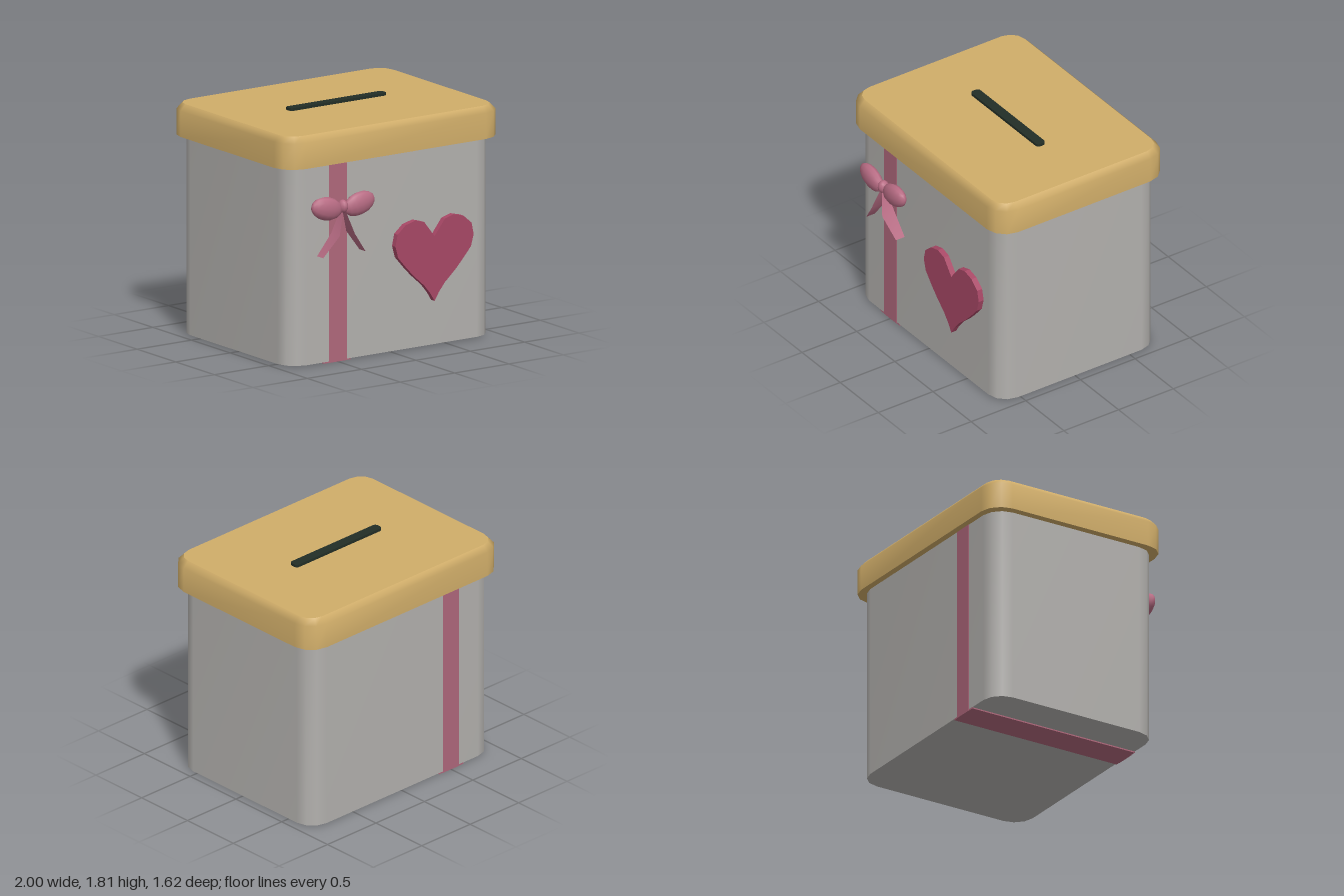
import * as THREE from 'three';

const mat = (name, color, side = THREE.FrontSide) => {
  const m = new THREE.MeshStandardMaterial({ color, side });
  m.name = name;
  return m;
};

// Rounded rectangle, counterclockwise, three steps per corner
function roundedRect(hw, hd, r, inset) {
  const pts = [];
  [[1, 1], [-1, 1], [-1, -1], [1, -1]].forEach(([sx, sy], q) => {
    for (let k = 0; k <= 3; k++) {
      const a = (q + k / 3) * Math.PI / 2;
      pts.push(new THREE.Vector2(
        sx * (hw - r) + (r - inset) * Math.cos(a),
        sy * (hd - r) + (r - inset) * Math.sin(a)));
    }
  });
  return pts;
}

// Rounded box with smooth walls through [inset, y] levels and flat caps
function roundedBlock(name, hw, hd, r, levels, material) {
  const group = new THREE.Group();
  group.name = name;
  const rings = levels.map(([inset]) => roundedRect(hw, hd, r, inset));
  const n = rings[0].length, pos = [], idx = [];
  rings.forEach((ring, j) => ring.forEach(p => pos.push(p.x, levels[j][1], -p.y)));
  for (let j = 0; j < rings.length - 1; j++) {
    for (let i = 0; i < n; i++) {
      const a = j * n + i, b = j * n + (i + 1) % n;
      idx.push(a, b, b + n, a, b + n, a + n);
    }
  }
  const walls = new THREE.BufferGeometry();
  walls.setAttribute('position', new THREE.Float32BufferAttribute(pos, 3));
  walls.setIndex(idx);
  walls.computeVertexNormals();
  const last = levels.length - 1;
  const top = new THREE.ShapeGeometry(new THREE.Shape(rings[last]));
  top.rotateX(-Math.PI / 2).translate(0, levels[last][1], 0);
  const bottom = new THREE.ShapeGeometry(new THREE.Shape(rings[0]));
  bottom.rotateX(Math.PI / 2).translate(0, levels[0][1], 0);
  [['Walls', walls], ['Top', top], ['Bottom', bottom]].forEach(([part, geo]) => {
    const mesh = new THREE.Mesh(geo, material);
    mesh.name = name + part;
    group.add(mesh);
  });
  group.position.z = -0.035;
  return group;
}

export function createModel() {
  const model = new THREE.Group();
  model.name = 'giftMoneyBox';
  const grey = mat('bodyGrey', 0xb3b1ae);
  const gold = mat('lidGold', 0xd0ad69);
  const dark = mat('slotDark', 0x222e26);
  const red = mat('heartRed', 0xa84866);
  const pink = mat('ribbonPink', 0xb0687c);
  const bowPink = mat('bowPink', 0xb86c84, THREE.DoubleSide);

  const add = (name, geo, material, x = 0, y = 0, z = 0, parent = model) => {
    const mesh = new THREE.Mesh(geo, material);
    mesh.name = name;
    mesh.position.set(x, y, z);
    parent.add(mesh);
    return mesh;
  };

  // Box, lid and coin slot
  model.add(roundedBlock('body', 0.94, 0.725, 0.16, [[0, 0.01], [0, 1.545]], grey));
  model.add(roundedBlock('lid', 1, 0.775, 0.17, [[0, 1.54], [0, 1.74], [0.045, 1.787]], gold));
  model.add(roundedBlock('coinSlot', 0.443, 0.039, 0.025, [[0, 1.78], [0, 1.808]], dark));

  // Ribbon around front, back and underside
  const strip = new THREE.BoxGeometry(0.164, 1.54, 0.006);
  add('ribbonFront', strip, pink, -0.5, 0.77, 0.69);
  add('ribbonBack', strip, pink, -0.5, 0.77, -0.76);
  add('ribbonUnder', new THREE.BoxGeometry(0.25, 0.012, 1.45), pink, -0.505, 0.006, -0.035);

  // Heart: half outline mirrored
  const half = [[0, 0.355], [0.04, 0.42], [0.095, 0.487], [0.19, 0.572], [0.255, 0.64],
    [0.335, 0.732], [0.36, 0.823], [0.34, 0.913], [0.265, 0.977], [0.175, 1], [0.095, 0.977], [0, 0.855]];
  const outline = [...half, ...half.slice(1, -1).reverse().map(([x, y]) => [-x, y])];
  const heart = new THREE.Shape(outline.map(([x, y]) => new THREE.Vector2(x, y)));
  add('heart', new THREE.ExtrudeGeometry(heart, { depth: 0.055, bevelEnabled: false }), red, 0.36, 0, 0.68);

  // Bow: knot, two loops and two tails
  const bow = new THREE.Group();
  bow.name = 'bow';
  bow.position.set(-0.5, 1.21, 0.757);
  model.add(bow);
  const knot = add('bowKnot', new THREE.SphereGeometry(1, 10, 8), bowPink, 0, 0, 0, bow);
  knot.scale.set(0.038, 0.052, 0.045);
  // Tail cross-sections: [x, y, back z, front z]
  const tailRows = [[0.01, -0.03, -0.02, 0.02], [0.07, -0.21, -0.055, 0.058], [0.195, -0.37, -0.06, 0.02]];
  for (const s of [1, -1]) {
    const side = s > 0 ? 'left' : 'right';
    const loopGeo = new THREE.SphereGeometry(1, 12, 8);
    loopGeo.rotateZ(Math.PI / 2);
    loopGeo.scale(0.14, 0.09, 0.053);
    const loop = add(side + 'BowLoop', loopGeo, bowPink, s * 0.15, 0.002, 0, bow);
    loop.rotation.z = s * 0.24;
    const tail = new THREE.BufferGeometry();
    tail.setAttribute('position', new THREE.Float32BufferAttribute(
      tailRows.flatMap(([x, y, b, f]) => [s * x, y, b, s * x, y, f]), 3));
    tail.setIndex([0, 1, 3, 0, 3, 2, 2, 3, 5, 2, 5, 4]);
    tail.computeVertexNormals();
    add(side + 'BowTail', tail, bowPink, 0, 0, 0, bow);
  }
  return model;
}
